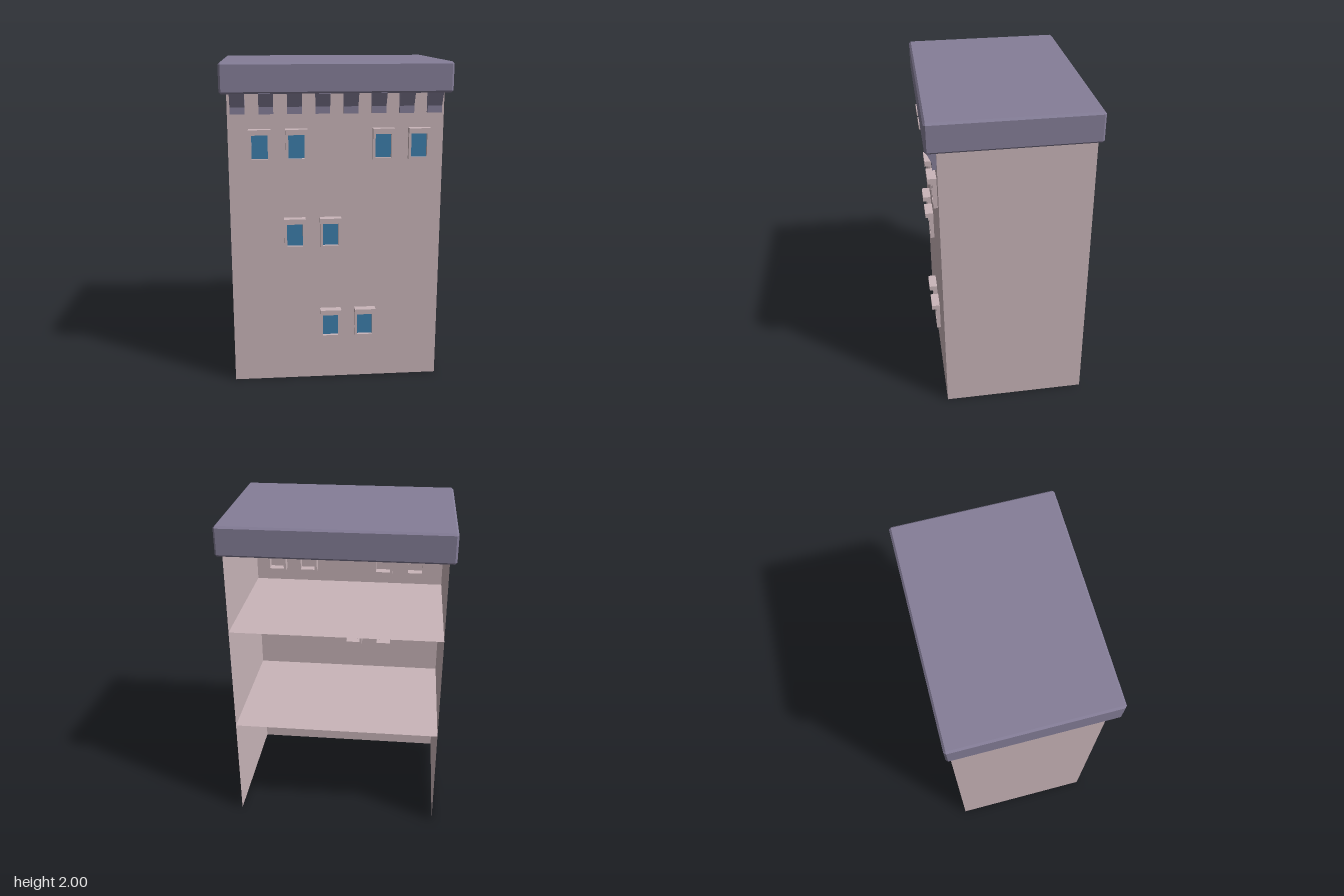
import * as THREE from 'three';
import { ConvexGeometry } from 'three/addons/geometries/ConvexGeometry.js';

const material = (name, color, side = THREE.FrontSide) => {
  const m = new THREE.MeshStandardMaterial({ color, side });
  m.name = name;
  return m;
};

export function createModel() {
  const plaster = material('pink plaster', 0xc9b5b9);
  const plasterSheet = material('pink plaster sheet', 0xc9b5b9, THREE.DoubleSide);
  const slate = material('purple slate', 0x857e98);
  const glass = material('blue glass', 0x3d7eac);

  const model = new THREE.Group();
  model.name = 'openBackedTower';

  const add = (parent, name, geometry, mat, x = 0, y = 0, z = 0) => {
    const mesh = new THREE.Mesh(geometry, mat);
    mesh.name = name;
    mesh.position.set(x, y, z);
    parent.add(mesh);
    return mesh;
  };

  // Thin shell: front and side walls, open at the back
  const halfW = 0.645, front = 0.425, back = -0.465, wallH = 1.9;
  const depth = front - back, midZ = (front + back) / 2;
  add(model, 'frontWall', new THREE.PlaneGeometry(2 * halfW, wallH), plasterSheet, 0, wallH / 2, front);
  for (const s of [-1, 1]) {
    const wall = add(model, s > 0 ? 'leftWall' : 'rightWall',
      new THREE.PlaneGeometry(depth, wallH), plasterSheet, s * halfW, wallH / 2, midZ);
    wall.rotation.y = s * Math.PI / 2;
  }

  // Two upper floors
  for (const y of [0.667, 1.333]) {
    const floor = add(model, 'floor', new THREE.PlaneGeometry(2 * halfW, depth), plasterSheet, 0, y, midZ);
    floor.rotation.x = -Math.PI / 2;
  }

  // Roof slab with every edge chamfered
  const half = [0.685, 0.09, 0.49], bevel = 0.012;
  const points = [];
  for (const sx of [-1, 1]) for (const sy of [-1, 1]) for (const sz of [-1, 1]) {
    for (let axis = 0; axis < 3; axis++) {
      const p = half.map((h, i) => (i === axis ? h : h - bevel));
      points.push(new THREE.Vector3(sx * p[0], sy * p[1], sz * p[2]));
    }
  }
  add(model, 'roof', new ConvexGeometry(points), slate, 0, 1.91, 0);

  // Brackets below the roof; profile is drawn in (z, y) and extruded along x
  const profile = new THREE.Shape([
    [0.42, 1.70], [0.45, 1.70], [0.45, 1.742], [0.487, 1.822], [0.42, 1.822],
  ].map(([z, y]) => new THREE.Vector2(z, y)));
  const bracketW = 0.086;
  const bracketGeo = new THREE.ExtrudeGeometry(profile, { depth: bracketW, bevelEnabled: false });
  bracketGeo.translate(0, 0, -bracketW / 2);
  bracketGeo.rotateY(-Math.PI / 2);
  // the turn maps profile z to +z and the extrusion to -x
  for (let i = 0; i < 8; i++) add(model, 'bracket', bracketGeo, slate, (i - 3.5) * 0.1668);

  // Windows: frame ring through the wall, lintel and glass
  const ring = new THREE.Shape([
    [-0.063, 0], [0.063, 0], [0.063, 0.185], [-0.063, 0.185],
  ].map(([x, y]) => new THREE.Vector2(x, y)));
  ring.holes.push(new THREE.Path([
    [-0.048, 0.013], [-0.048, 0.16], [0.048, 0.16], [0.048, 0.013],
  ].map(([x, y]) => new THREE.Vector2(x, y))));
  const ringGeo = new THREE.ExtrudeGeometry(ring, { depth: 0.085, bevelEnabled: false });
  const lintelGeo = new THREE.BoxGeometry(0.131, 0.032, 0.052);
  const paneGeo = new THREE.PlaneGeometry(0.096, 0.147);
  const rows = [
    [1.42, [-0.459, -0.241, 0.28, 0.496]],
    [0.876, [-0.256, -0.038]],
    [0.281, [-0.038, 0.179]],
  ];
  for (const [y, xs] of rows) {
    for (const x of xs) {
      const win = new THREE.Group();
      win.name = 'window';
      win.position.set(x, y, 0);
      add(win, 'windowFrame', ringGeo, plaster, 0, 0, 0.365);
      add(win, 'windowLintel', lintelGeo, plaster, 0, 0.175, 0.451);
      add(win, 'windowPane', paneGeo, glass, 0, 0.0865, 0.429);
      model.add(win);
    }
  }

  return model;
}
